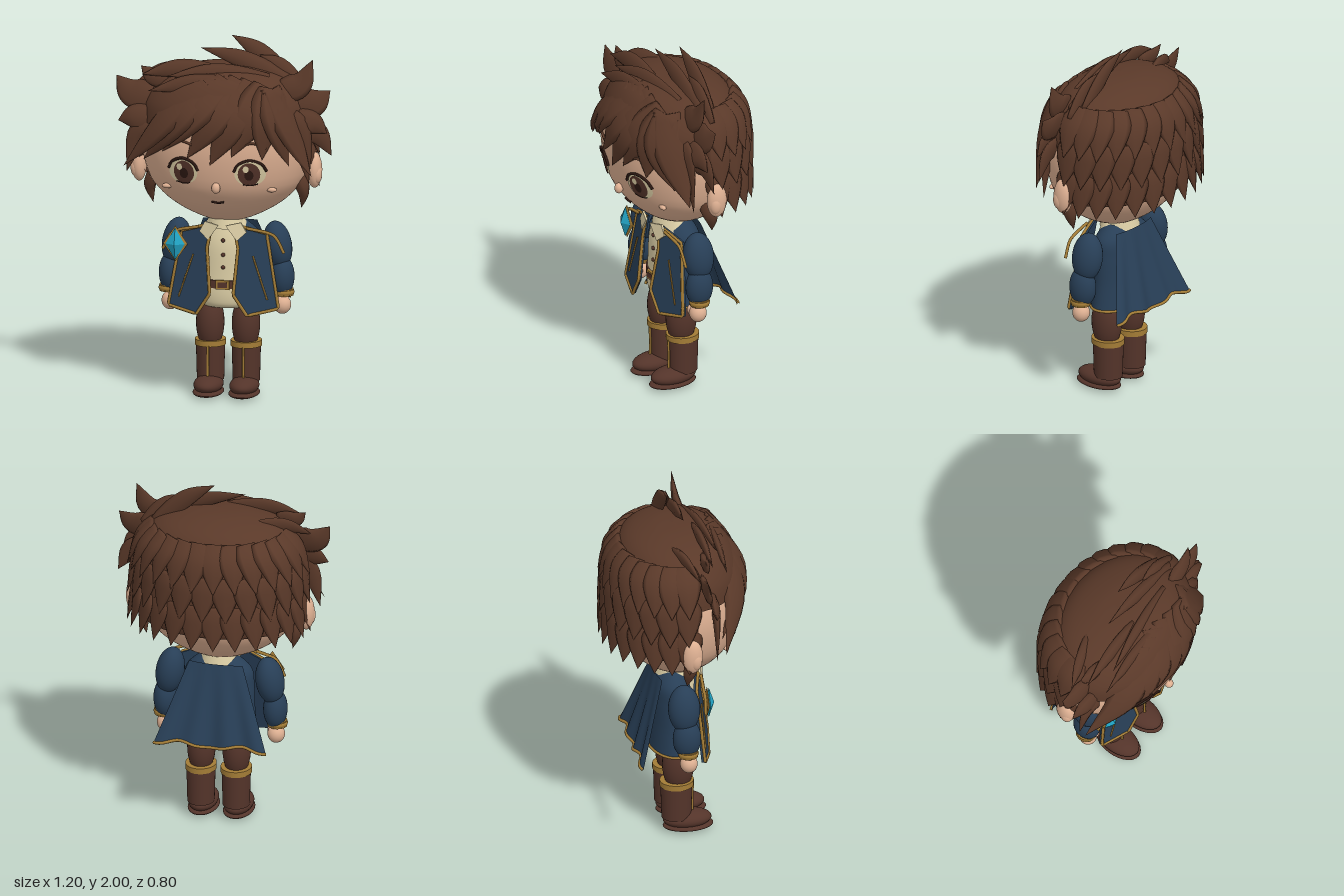
import * as THREE from 'three';

const mat = (name, color, side = THREE.FrontSide) => {
  const m = new THREE.MeshStandardMaterial({ color, side });
  m.name = name;
  return m;
};
const V = (x, y, z) => new THREE.Vector3(x, y, z);

export function createModel() {
  const root = new THREE.Group();
  root.name = 'chibiFigure';
  const hair = mat('hairBrown', 0x5a3929, THREE.DoubleSide);
  const leather = mat('leatherBrown', 0x54342a);
  const skin = mat('skin', 0xdfb193);
  const navy = mat('navyCloth', 0x283f57, THREE.DoubleSide);
  const gold = mat('goldTrim', 0xa37c36);
  const cream = mat('creamCloth', 0xddcfa6, THREE.DoubleSide);
  const teal = mat('tealGem', 0x22a5c6);
  const dark = mat('darkBrown', 0x2c1812);

  const add = (name, geo, m, x = 0, y = 0, z = 0) => {
    const mesh = new THREE.Mesh(geo, m);
    mesh.name = name;
    mesh.position.set(x, y, z);
    root.add(mesh);
    return mesh;
  };
  const ball = (name, m, x, y, z, rx, ry, rz) => {
    const s = add(name, new THREE.SphereGeometry(1, 28, 18), m, x, y, z);
    s.scale.set(rx, ry, rz);
    return s;
  };
  // Tube along points
  const line = (name, m, pts, r, tension = 0.5, closed = false) => {
    const c = new THREE.CatmullRomCurve3(pts, closed, 'catmullrom', tension);
    return add(name, new THREE.TubeGeometry(c, pts.length * 10, r, 6, closed), m);
  };
  const smooth = (prof, n) => new THREE.SplineCurve(prof.map(p => new THREE.Vector2(...p))).getPoints(n);
  const lathe = (name, m, prof, zs, start = 0, len = Math.PI * 2, z = 0) => {
    const pts = smooth(prof, 36);
    pts.forEach(p => { p.x = Math.max(p.x, 0); });
    const mesh = add(name, new THREE.LatheGeometry(pts, 56, start, len), m, 0, 0, z);
    mesh.scale.z = zs;
  };

  // Head: a squashed lathe; face() gives z on its front
  const headProfile = [[0, .972], [.1, .985], [.19, 1.02], [.28, 1.07], [.36, 1.135], [.43, 1.23],
    [.47, 1.4], [.455, 1.55], [.4, 1.67], [.28, 1.77], [.13, 1.82], [0, 1.835]];
  const ZS = .76, Z0 = .015;
  lathe('head', skin, headProfile, ZS, 0, Math.PI * 2, Z0);
  const headPts = smooth(headProfile, 200);
  const radiusAt = y => {
    const i = headPts.findIndex(p => p.y >= y);
    const a = headPts[i - 1], b = headPts[i];
    return a.x + (b.x - a.x) * (y - a.y) / (b.y - a.y);
  };
  const face = (x, y, off, min = .002) =>
    Z0 + ZS * Math.sqrt(Math.max(radiusAt(y) ** 2 - x * x, min)) + off;

  // Face details follow the head surface
  const patch = (name, m, x, y, rx, ry, off) => {
    const g = new THREE.RingGeometry(.001, 1, 28, 6), p = g.attributes.position;
    for (let i = 0; i < p.count; i++) {
      const px = x + p.getX(i) * rx, py = y + p.getY(i) * ry;
      p.setXYZ(i, px, py, face(px, py, off));
    }
    g.computeVertexNormals();
    add(name, g, m);
  };
  const faceLine = (name, m, pts, r) => line(name, m, pts.map(([x, y]) => V(x, y, face(x, y, .006))), r);
  for (const s of [-1, 1]) {
    const ex = s * .185;
    patch('eyeWhite', cream, ex, 1.302, .083, .07, .004);
    patch('iris', leather, ex - s * .005, 1.3, .059, .066, .007);
    patch('pupil', dark, ex - s * .005, 1.295, .024, .03, .009);
    patch('eyeGlint', cream, ex - .02, 1.33, .016, .019, .011);
    faceLine('upperLash', dark, [[ex - .086, 1.315], [ex - .06, 1.358], [ex, 1.38], [ex + .06, 1.358], [ex + .086, 1.315]], .008);
    faceLine('lowerLash', dark, [[ex - .04, 1.242], [ex, 1.235], [ex + .04, 1.242]], .003);
    faceLine('eyebrow', hair, [[s * .13, 1.46], [s * .2, 1.475], [s * .27, 1.445]], .007);
    ball('cheekMark', skin, s * .29, 1.2, face(.29, 1.2, .006), .028, .014, .016);
    ball('ear', skin, s * .485, 1.27, .02, .042, .1, .057);
    ball('earHollow', skin, s * .5, 1.25, .035, .03, .055, .035);
  }
  ball('nose', skin, 0, 1.22, .352, .024, .03, .024);
  faceLine('mouth', dark, [[-.035, 1.13], [0, 1.124], [.035, 1.13]], .006);

  // Hair cap: crown all round, lower part only at the back
  lathe('hairBack', hair, [[.4, 1.22], [.45, 1.23], [.474, 1.36], [.475, 1.5], [.445, 1.64], [.38, 1.74], [.3, 1.79]],
    ZS, Math.PI / 2 - .15, Math.PI + .3);
  lathe('hairCrown', hair, [[.468, 1.53], [.45, 1.64], [.385, 1.74], [.3, 1.8], [.15, 1.84], [0, 1.85]],
    .77, 0, Math.PI * 2, .01);

  // A lock of hair: pointed leaf section swept to its tip
  const lock = (name, pts, w, t, ref) => {
    const c = new THREE.CatmullRomCurve3(pts), pos = [], idx = [], S = 8, N = 13;
    for (let i = 0; i <= N; i++) {
      const u = Math.max(0, i - 1) / (N - 1), p = c.getPoint(u), T = c.getTangent(u);
      const n = ref ? ref.clone() : p.clone().sub(V(0, 1.4, 0));
      n.addScaledVector(T, -n.dot(T)).normalize();
      const b = T.clone().cross(n);
      const k = i === 0 ? .001 : Math.max(.001, Math.sin(Math.PI * Math.min(.999, .25 + .75 * u)) ** 1.05);
      for (let j = 0; j < S; j++) {
        const a = j / S * Math.PI * 2;
        const q = p.clone().addScaledVector(b, Math.cos(a) * w * k).addScaledVector(n, Math.sin(a) * t * k);
        pos.push(q.x, q.y, q.z);
        if (i < N) {
          const o = i * S, j2 = (j + 1) % S;
          idx.push(o + j, o + S + j, o + j2, o + j2, o + S + j, o + S + j2);
        }
      }
    }
    const g = new THREE.BufferGeometry();
    g.setAttribute('position', new THREE.Float32BufferAttribute(pos, 3));
    g.setIndex(idx);
    g.computeVertexNormals();
    add(name, g, hair);
  };

  // Layered rows round the back and sides, tips flaring out
  for (let row = 0; row < 3; row++) {
    const n = 14 - row % 2, top = 1.76 - .17 * row;
    for (let i = 0; i < n; i++) {
      const a = -.12 + (Math.PI + .24) * (i + .5) / n;
      const at = (y, r) => V(Math.cos(a) * r, y, -Math.sin(a) * r * .78);
      lock('backLock', [at(top, row ? .455 : .36), at(top - .1, row ? .475 : .445), at(top - .25, .51)], .08, .026);
    }
  }
  // Fringe swept to the model's right: each lock's root and bend follow from its tip
  for (const [x, y] of [[-.54, 1.29], [-.43, 1.33], [-.31, 1.4], [-.16, 1.38], [.5, 1.27], [.38, 1.33],
    [.25, 1.38], [.09, 1.4], [-.03, 1.35]]) {
    const x0 = Math.min(.28, .55 * x + .2), y0 = 1.8 - .6 * x0 * x0;
    const at = (px, py, off) => V(px, py, face(px, py, off, .05));
    lock('fringeLock', [at(x0, y0, .03), at(x0 + (x - x0) * .45, y0 + (y - y0) * .45, .014), at(x, y, .012)], .105, .03);
  }
  // Side tufts: tip, rise from the root, half-width
  const forward = V(0, .25, 1);
  for (const [x, y, z, rise, w] of [
    [-.6, 1.77, .085, .11, .085], [-.58, 1.53, .137, -.03, .07], [-.46, 1.83, .1, .06, .055], [-.53, 1.25, .15, -.28, .07],
    [.585, 1.73, .085, .08, .085], [.575, 1.5, .13, -.07, .07], [.49, 1.9, .1, .17, .075], [.595, 1.37, .1, -.16, .07],
    [.48, 1.22, .16, -.38, .08]])
    lock('sideTuft', [V(x * .65, y - rise, z + .02), V(x * .86, y - rise * .8, z + .01), V(x, y, z)], w, .024, forward);
  for (const s of [-1, 1])
    lock('sideburn', [V(s * .4, 1.24, .05), V(s * .425, 1.15, .02), V(s * .41, 1.05, .005)], .045, .035);
  // Top tufts: root and tip, bulging upward between
  for (const [x0, y0, z0, x1, y1, z1] of [
    [.35, 1.74, -.02, .02, 1.995, -.02], [.38, 1.74, .05, -.14, 1.93, .04], [.25, 1.78, .12, -.3, 1.8, .2],
    [-.02, 1.81, .12, -.45, 1.79, .14], [-.2, 1.78, -.04, -.5, 1.72, .07], [.42, 1.7, .02, .18, 1.9, .02],
    [.12, 1.76, .22, -.4, 1.72, .23]]) {
    const a = V(x0, y0, z0), b = V(x1, y1, z1);
    lock('topTuft', [a, a.clone().lerp(b, .55).add(V(0, .03, 0)), b], .055, .024, forward);
  }

  // Shirt, collar, buttons and belt
  lathe('shirt', cream, [[0, .49], [.13, .5], [.165, .56], [.16, .7], [.15, .85], [.11, .96], [.09, 1]], .72, 0, Math.PI * 2, .02);
  add('neckBand', new THREE.CylinderGeometry(.095, .11, .06, 28, 1, true), cream, 0, .97, .015);
  for (const y of [.88, .8, .73]) ball('button', leather, 0, y, .133, .011, .011, .012);
  add('belt', new THREE.CylinderGeometry(.168, .168, .045, 36), leather, 0, .635, .02).scale.z = .75;
  add('buckle', new THREE.BoxGeometry(.075, .05, .012), gold, 0, .635, .148);
  add('bucklePlate', new THREE.BoxGeometry(.052, .03, .008), leather, 0, .635, .153);

  // Jacket body, open at the front
  lathe('jacketBody', navy, [[.215, .5], [.2, .65], [.195, .8], [.18, .9], [.1, .975]], .6, .75, Math.PI * 2 - 1.5);
  line('jacketHem', gold, Array.from({ length: 21 }, (_, i) => {
    const a = .75 + (Math.PI * 2 - 1.5) * i / 20;
    return V(Math.sin(a) * .217, .502, Math.cos(a) * .13);
  }), .008);

  // Leaning front panels with trim, stitching and collar flaps
  const panelZ = (x, y) => .19 - .13 * (y - .5) - .3 * (Math.abs(x) - .1);
  for (const s of [-1, 1]) {
    const on = (list, off) => list.map(([x, y]) => V(s * x, y, panelZ(x, y) + off));
    const slab = (name, m, list, off, depth) => {
      const g = new THREE.ExtrudeGeometry(new THREE.Shape(list.map(([x, y]) => new THREE.Vector2(s * x, y))),
        { depth, bevelEnabled: false });
      const p = g.attributes.position;
      for (let i = 0; i < p.count; i++) p.setZ(i, p.getZ(i) + panelZ(p.getX(i), p.getY(i)) + off);
      g.computeVertexNormals();
      add(name, g, m);
    };
    const outline = [[.06, .97], [.14, .95], [.235, .92], [.305, .51], [.14, .475], [.065, .59], [.085, .84]];
    slab('jacketPanel', navy, outline, -.02, .02);
    line('panelTrim', gold, on(outline, 0), .009, 0, true);
    line('panelStitch', gold, on([[.165, .8], [.185, .74], [.245, .56]], .004), .005, 0);
    slab('collarFlap', cream, [[.02, .97], [.1, .985], [.13, .93], [.08, .885]], .004, .012);
    line('shoulderTrim', gold, [V(s * .13, .955, .14), V(s * .25, .93, .13), V(s * .295, .9, .13), V(s * .335, .82, .125)], .009);

    // Arm: puffed sleeve, cuff and hand
    ball('upperSleeve', navy, s * .28, .84, .015, .078, .135, .088).rotation.z = s * .16;
    ball('lowerSleeve', navy, s * .308, .67, .025, .066, .115, .078);
    add('cuff', new THREE.CylinderGeometry(.053, .053, .036, 28), gold, s * .318, .585, .03);
    add('cuffRim', new THREE.TorusGeometry(.04, .018, 10, 32), gold, s * .318, .585, .03).rotation.x = Math.PI / 2;
    ball('hand', skin, s * .31, .515, .035, .048, .052, .048);
    ball('thumb', skin, s * .275, .525, .06, .02, .03, .02);

    // Leg, boot and sole
    const lx = s * .099 + .007;
    ball('leg', leather, lx, .4, .02, .077, .16, .088);
    add('bootShaft', new THREE.CylinderGeometry(.08, .074, .22, 32), leather, lx, .19, .01).scale.z = 1.1;
    add('bootBand', new THREE.CylinderGeometry(.085, .085, .032, 32), gold, lx, .29, .012).scale.z = 1.1;
    ball('foot', leather, lx, .063, .07, .08, .05, .135);
    ball('sole', leather, lx, .024, .075, .084, .024, .14);
    line('bootSeam', gold, [V(lx, .28, .102), V(lx, .2, .099), V(lx, .11, .1)], .007);
  }

  // Gem brooch on the model's right shoulder
  const brooch = (name, m, z, w, h, d) =>
    add(name, new THREE.OctahedronGeometry(1), m, -.262, .855, z).scale.set(w, h, d);
  brooch('broochMount', gold, .145, .068, .1, .02);
  brooch('gem', teal, .156, .053, .09, .03);

  // Cape hanging from the shoulders with a wavy hem
  const cape = (u, v) => V(u * (.15 + .165 * v), .955 - .44 * v - .012 * v * Math.cos(u * 6),
    -.1 - .118 * v + .012 * v * Math.cos(u * 11) + .02 * u * u * (1 - v));
  const cg = new THREE.PlaneGeometry(2, 1, 40, 12), cp = cg.attributes.position;
  for (let i = 0; i < cp.count; i++) {
    const p = cape(cp.getX(i), .5 - cp.getY(i));
    cp.setXYZ(i, p.x, p.y, p.z);
  }
  cg.computeVertexNormals();
  add('cape', cg, navy);
  line('capeHem', gold, Array.from({ length: 25 }, (_, i) => cape(-1 + i / 12, 1)), .009);
  return root;
}
